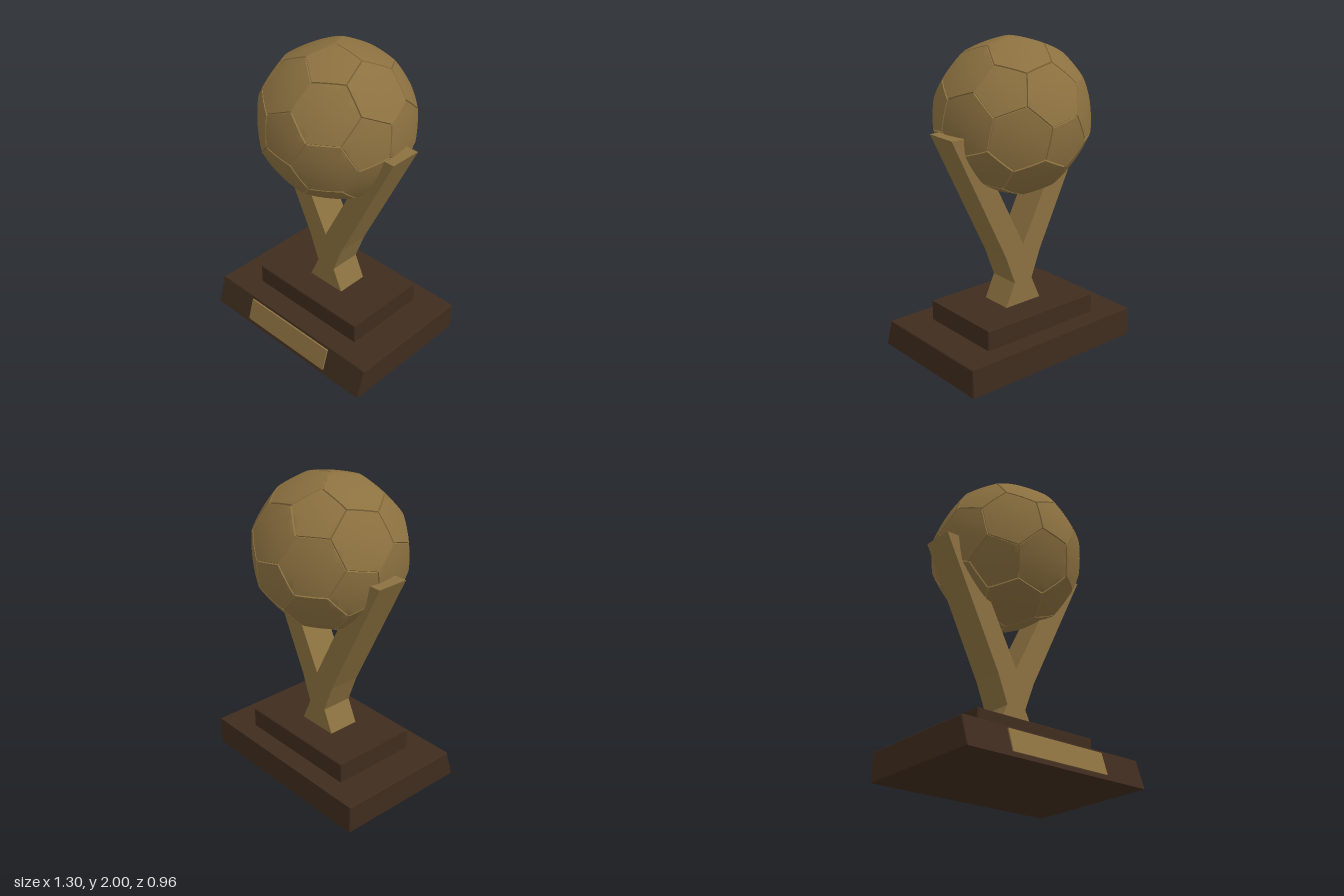
import * as THREE from 'three';
import { mergeGeometries, toCreasedNormals } from 'three/addons/utils/BufferGeometryUtils.js';

const gold = new THREE.MeshStandardMaterial({ color: 0x8c7140 });
const wood = new THREE.MeshStandardMaterial({ color: 0x3f2c1e });

const BALL_RADIUS = 0.485;

function addMesh(parent, name, geometry, material) {
  const mesh = new THREE.Mesh(geometry, material);
  mesh.name = name;
  parent.add(mesh);
  return mesh;
}

// Extruded outline, centred in depth, with a small chamfer inside the given size
function slab(points, depth, bevel = 0.005) {
  const shape = new THREE.Shape(points.map(([x, y]) => new THREE.Vector2(x, y)));
  const geometry = new THREE.ExtrudeGeometry(shape, {
    depth: depth - 2 * bevel,
    bevelEnabled: true,
    bevelThickness: bevel,
    bevelSize: bevel,
    bevelOffset: -bevel,
    bevelSegments: 1,
  });
  return geometry.translate(0, 0, -depth / 2 + bevel);
}

// Icosahedron corners, turned so that a seam corner of the ball points straight up
function icosahedronPoints() {
  const lean = new THREE.Vector3(0.576, 0, 0.817).normalize();
  const at = (angle) => lean.clone().multiplyScalar(Math.sin(angle)).setY(Math.cos(angle));
  const tilt = 0.3504;
  const pole = at(tilt);
  const neighbour = at(tilt - Math.atan(2));
  const points = [pole, pole.clone().negate()];
  for (let i = 0; i < 5; i++) {
    const p = neighbour.clone().applyAxisAngle(pole, (i * Math.PI * 2) / 5);
    points.push(p, p.clone().negate());
  }
  return points;
}

// One slightly domed panel whose rim drops into the seam
function panel(corners) {
  const center = new THREE.Vector3();
  corners.forEach((c) => center.addScaledVector(c, 1 / corners.length));

  // Order the corners counter-clockwise seen from outside
  const normal = center.clone().normalize();
  const u = corners[0].clone().sub(center).normalize();
  const v = normal.clone().cross(u);
  const angle = (c) => {
    const d = c.clone().sub(center);
    return Math.atan2(d.dot(v), d.dot(u));
  };
  const ordered = [...corners].sort((a, b) => angle(a) - angle(b));

  const steps = 4;
  const rim = [];
  ordered.forEach((c, i) => {
    const next = ordered[(i + 1) % ordered.length];
    for (let s = 0; s < steps; s++) rim.push(c.clone().lerp(next, s / steps));
  });

  const rings = [0.25, 0.5, 0.75, 0.97, 1];
  const positions = [];
  const index = [];
  const put = (p, sink) => {
    const radius = THREE.MathUtils.lerp(p.length(), BALL_RADIUS, 0.5) - sink;
    positions.push(...p.clone().setLength(radius).toArray());
  };
  put(center, 0);
  rings.forEach((t) => rim.forEach((p) => put(center.clone().lerp(p, t), t === 1 ? 0.01 : 0)));

  const n = rim.length;
  for (let i = 0; i < n; i++) {
    const j = (i + 1) % n;
    index.push(0, 1 + i, 1 + j);
    for (let r = 0; r < rings.length - 1; r++) {
      const a = 1 + r * n;
      const b = a + n;
      index.push(a + i, b + i, b + j, a + i, b + j, a + j);
    }
  }
  const geometry = new THREE.BufferGeometry();
  geometry.setAttribute('position', new THREE.Float32BufferAttribute(positions, 3));
  geometry.setIndex(index);
  return geometry;
}

// Twelve pentagons and twenty hexagons of a truncated icosahedron
function ballGeometry() {
  const points = icosahedronPoints();
  const joined = (a, b) => a !== b && a.distanceTo(b) < 1.2;
  const cut = (a, b) => a.clone().multiplyScalar(2).add(b).setLength(BALL_RADIUS);
  const panels = [];
  points.forEach((a, i) => {
    panels.push(panel(points.filter((b) => joined(a, b)).map((b) => cut(a, b))));
    for (let j = i + 1; j < points.length; j++) {
      for (let k = j + 1; k < points.length; k++) {
        const b = points[j];
        const c = points[k];
        if (joined(a, b) && joined(b, c) && joined(a, c)) {
          panels.push(panel([cut(a, b), cut(b, a), cut(b, c), cut(c, b), cut(c, a), cut(a, c)]));
        }
      }
    }
  });
  return toCreasedNormals(mergeGeometries(panels), 0.5);
}

export function createModel() {
  const model = new THREE.Group();
  model.name = 'ballTrophy';

  // Base with a sloping front, drawn as a side profile
  const base = slab([[-0.42, 0], [0.487, 0], [0.43, 0.185], [-0.42, 0.185]], 1.3);
  addMesh(model, 'base', base.rotateY(-Math.PI / 2), wood);

  // Plaque lying on the sloping front
  const plaque = slab([[0.46, 0.03], [0.486, 0.03], [0.445, 0.17], [0.42, 0.17]], 0.695, 0.002);
  addMesh(model, 'plaque', plaque.rotateY(-Math.PI / 2), gold);

  // Upper step
  const step = slab([[-0.43, 0.18], [0.43, 0.18], [0.43, 0.315], [-0.43, 0.315]], 0.575);
  addMesh(model, 'upperStep', step, wood).position.z = -0.005;

  // Y-shaped stand, mirrored about its centre
  const side = [[0.14, 0.31], [0.07, 0.465], [0.14, 0.65], [0.54, 1.47], [0.385, 1.47]];
  const mirrored = side.map(([x, y]) => [-x, y]).reverse();
  const stand = slab([...side, [0, 0.71], ...mirrored], 0.21, 0.002);
  addMesh(model, 'stand', stand, gold).position.z = -0.005;

  // Panelled ball
  addMesh(model, 'ball', ballGeometry(), gold).position.y = 1.515;

  return model;
}
